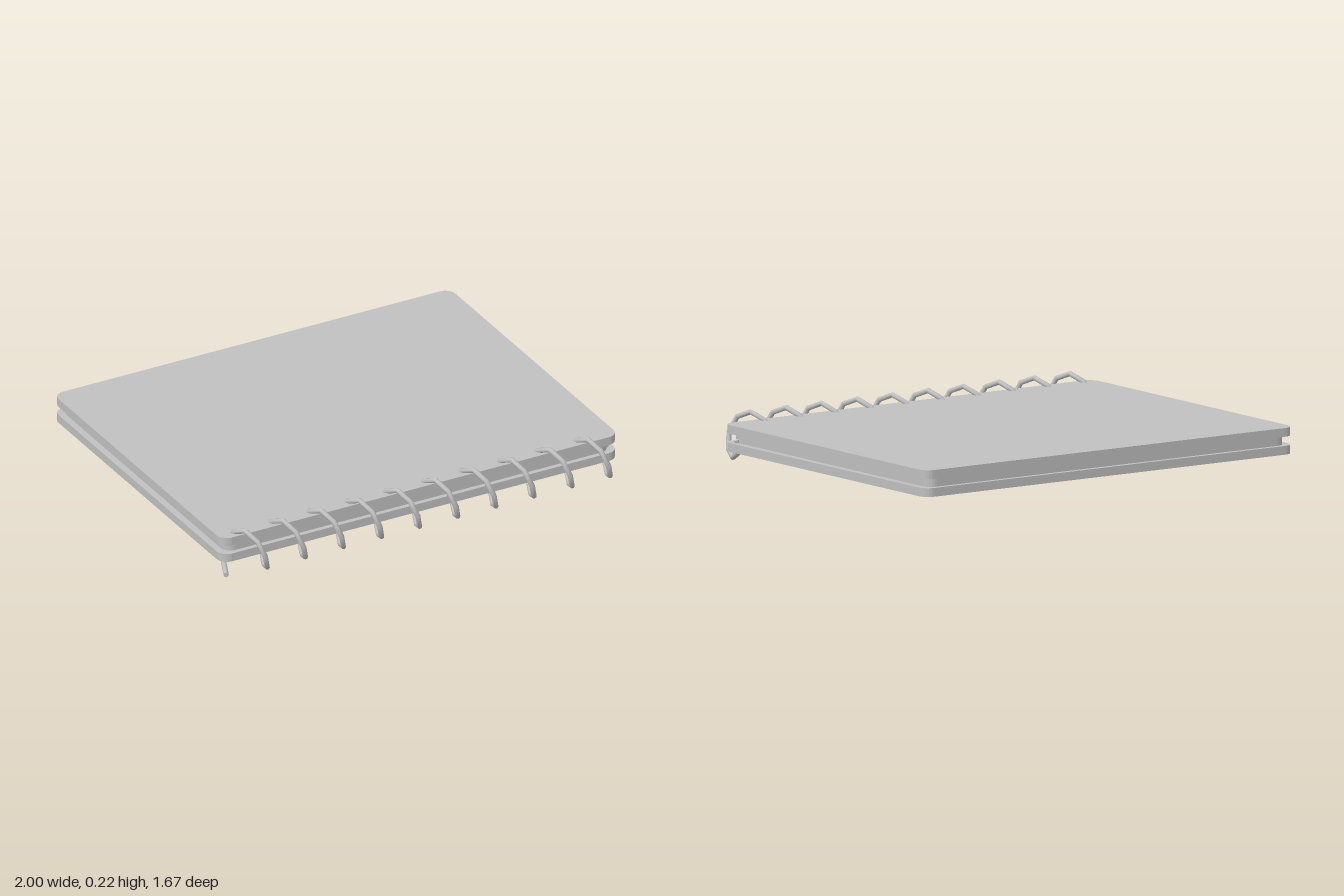
import * as THREE from 'three';

const grey = new THREE.MeshStandardMaterial({ color: 0xc0c0c0 });
grey.name = 'grey';

// Rounded-corner slab lying flat, its bottom at y
function slab(name, width, depth, radius, y, height) {
  const x = width / 2, z = depth / 2, r = radius;
  const s = new THREE.Shape();
  s.moveTo(-x + r, -z);
  s.lineTo(x - r, -z);
  s.absarc(x - r, -z + r, r, -Math.PI / 2, 0);
  s.absarc(x - r, z - r, r, 0, Math.PI / 2);
  s.absarc(-x + r, z - r, r, Math.PI / 2, Math.PI);
  s.absarc(-x + r, -z + r, r, Math.PI, Math.PI * 1.5);
  const geo = new THREE.ExtrudeGeometry(s, { depth: height, bevelEnabled: false, curveSegments: 3 });
  geo.rotateX(-Math.PI / 2);
  const mesh = new THREE.Mesh(geo, grey);
  mesh.name = name;
  mesh.position.set(0, y, -0.067);
  return mesh;
}

// Spiral running along x: bottom, back, top, front
class Helix extends THREE.Curve {
  constructor(start, pitch, turns, radius, y, z) {
    super();
    Object.assign(this, { start, pitch, turns, radius, y, z });
  }
  getPoint(t, target = new THREE.Vector3()) {
    const a = t * this.turns * Math.PI * 2;
    return target.set(
      this.start + t * this.turns * this.pitch,
      this.y - Math.cos(a) * this.radius,
      this.z - Math.sin(a) * this.radius
    );
  }
}

export function createModel() {
  const model = new THREE.Group();
  model.name = 'spiralNotebook';

  // Covers and the page block between them
  model.add(slab('bottomCover', 1.994, 1.53, 0.05, 0.055, 0.039));
  model.add(slab('pages', 1.932, 1.486, 0.048, 0.094, 0.041));
  model.add(slab('topCover', 1.994, 1.53, 0.05, 0.135, 0.039));

  // Wire binding, eight straight pieces per turn
  const turns = 10.25, wire = 0.012;
  const helix = new Helix(-0.992, 0.1915, turns, 0.097, 0.109, 0.726);
  helix.arcLengthDivisions = turns * 8 * 10;
  const coil = new THREE.Mesh(new THREE.TubeGeometry(helix, turns * 8, wire, 8, false), grey);
  coil.name = 'spiralBinding';
  model.add(coil);

  // Closed wire ends
  for (const t of [0, 1]) {
    const cap = new THREE.Mesh(new THREE.CircleGeometry(wire, 8), grey);
    cap.name = t ? 'wireEnd' : 'wireStart';
    cap.position.copy(helix.getPoint(t));
    const dir = helix.getTangent(t).multiplyScalar(t ? 1 : -1);
    cap.quaternion.setFromUnitVectors(new THREE.Vector3(0, 0, 1), dir);
    model.add(cap);
  }
  return model;
}
